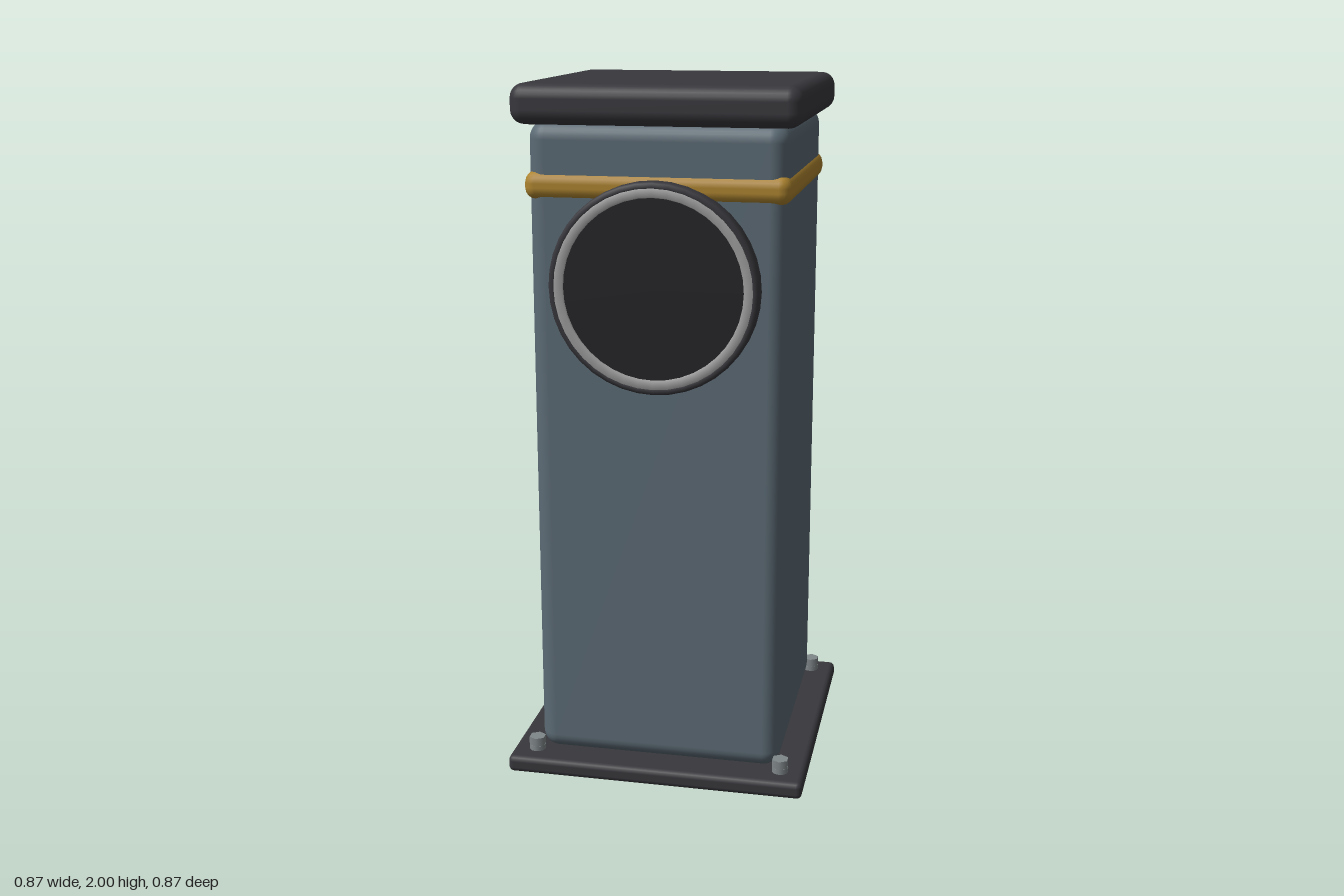
import * as THREE from 'three';
import { RoundedBoxGeometry } from 'three/addons/geometries/RoundedBoxGeometry.js';

const paint = (color) => new THREE.MeshStandardMaterial({ color });

export function createModel() {
  const group = new THREE.Group();
  const dark = paint(0x38373c);
  const steel = paint(0x80878a);

  const add = (name, geometry, material, x = 0, y = 0, z = 0) => {
    const mesh = new THREE.Mesh(geometry, material);
    mesh.name = name;
    mesh.position.set(x, y, z);
    group.add(mesh);
    return mesh;
  };

  // Square slab with rounded edges, from y0 to y1
  const slab = (name, half, y0, y1, radius, segments, material) =>
    add(name, new RoundedBoxGeometry(half * 2, y1 - y0, half * 2, segments, radius), material, 0, (y0 + y1) / 2);

  // Post, from the ground up
  slab('basePlate', 0.437, 0, 0.05, 0.016, 2, dark);
  slab('column', 0.358, 0.045, 1.9, 0.05, 4, paint(0x5c6b75));
  slab('trimBand', 0.368, 1.686, 1.766, 0.034, 2, paint(0xad842f));
  slab('cap', 0.397, 1.89, 2, 0.04, 3, dark);

  // Bolts at the corners of the base plate
  for (const x of [-0.365, 0.365]) {
    for (const z of [-0.365, 0.365]) {
      add('boltWasher', new THREE.CylinderGeometry(0.024, 0.024, 0.02, 12), steel, x, 0.055, z);
      add('boltHead', new THREE.CylinderGeometry(0.025, 0.025, 0.026, 6), steel, x, 0.077, z);
    }
  }

  // Round fitting on the front: lathe profiles are [radius, distance forward]
  const fitting = (name, profile, material) => {
    const points = profile.map(([r, d]) => new THREE.Vector2(r, d));
    const mesh = add(name, new THREE.LatheGeometry(points, 40), material, 0, 1.457, 0);
    mesh.rotation.x = Math.PI / 2;
  };
  fitting('roundHousing',
    [[0.28, 0.34], [0.292, 0.36], [0.292, 0.392], [0.288, 0.402], [0.277, 0.407], [0.273, 0.4]], dark);
  fitting('roundRing',
    [[0.277, 0.395], [0.275, 0.404], [0.252, 0.404], [0.248, 0.395]], paint(0xa0a0a0));
  fitting('roundPanel', [[0.255, 0.398], [0, 0.398]], paint(0x242427));

  return group;
}
